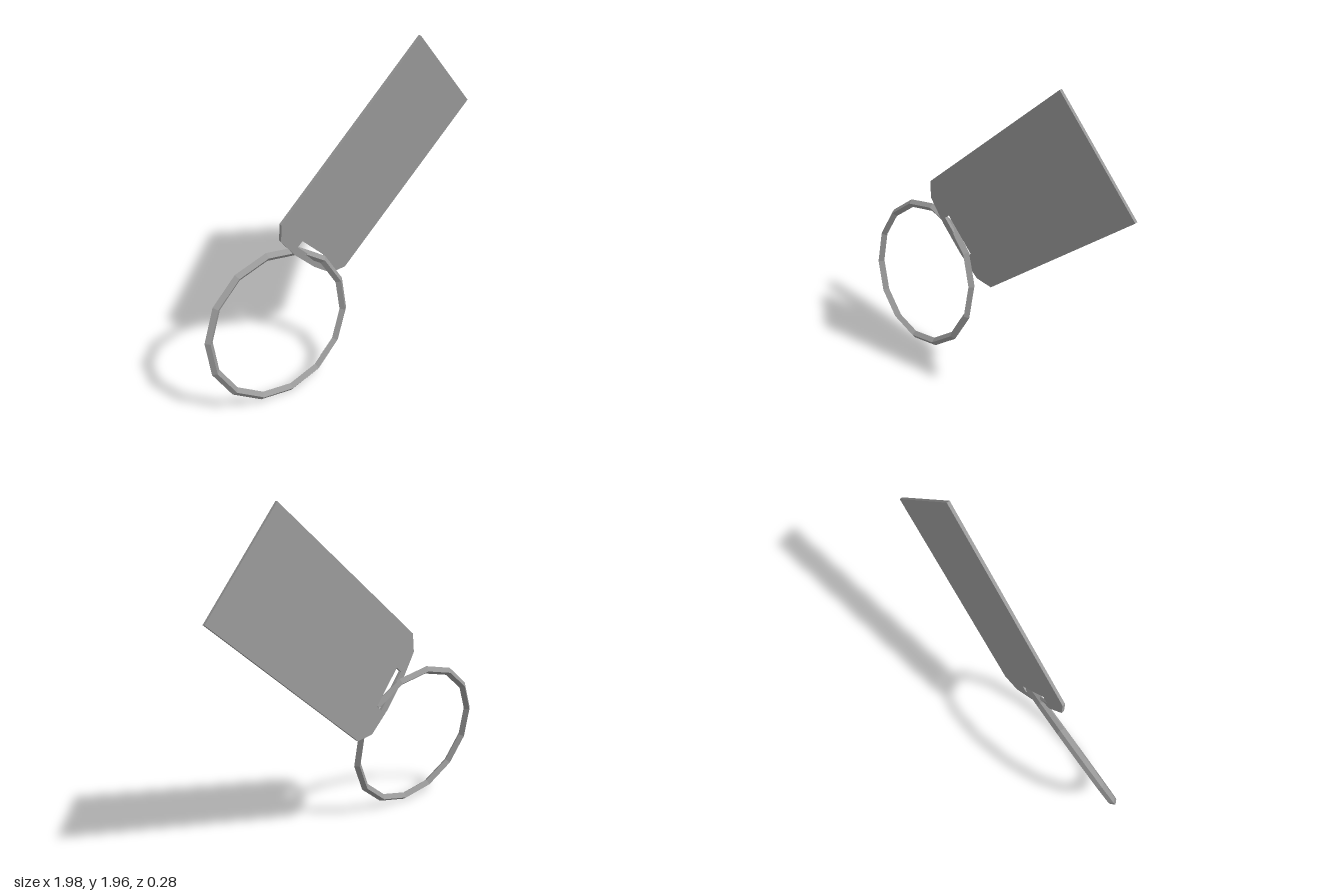
import * as THREE from 'three';

export function createModel() {
  const group = new THREE.Group();
  const gray = new THREE.MeshStandardMaterial({ color: 0x999999, flatShading: true });
  gray.name = 'gray metal';

  // Tag outline: x runs along the length, y across the width
  const length = 1.27, width = 0.738, thickness = 0.018;
  const outline = [
    [0, 0], [-0.078, -0.084], [-0.1, -0.26], [-0.1, -width + 0.26],
    [-0.078, -width + 0.084], [0, -width], [length, -width], [length, 0],
  ];
  const shape = new THREE.Shape(outline.map(([x, y]) => new THREE.Vector2(x, y)));

  // Slot the ring passes through
  const slot = [[-0.055, -0.235], [-0.01, -0.235], [-0.01, -0.503], [-0.055, -0.503]];
  shape.holes.push(new THREE.Path(slot.map(([x, y]) => new THREE.Vector2(x, y))));

  const tagGeometry = new THREE.ExtrudeGeometry(shape, { depth: thickness, bevelEnabled: false });
  tagGeometry.translate(0, 0, -thickness);

  // Lean the tag diagonally, with its lower and far edges turned back
  const along = new THREE.Vector3(0.765, 0.644, -0.039).normalize();
  const across = new THREE.Vector3(-0.644, 0.765, 0.095);
  const normal = new THREE.Vector3().crossVectors(along, across).normalize();
  across.crossVectors(normal, along);
  const placement = new THREE.Matrix4().makeBasis(along, across, normal);
  placement.setPosition(-0.455, 1.15, 0);
  tagGeometry.applyMatrix4(placement);
  const tag = new THREE.Mesh(tagGeometry, gray);
  tag.name = 'tag';
  group.add(tag);

  // Fourteen-sided split ring with a diamond cross-section
  const ring = new THREE.Mesh(new THREE.TorusGeometry(0.455, 0.025, 4, 14), gray);
  ring.name = 'ring';
  ring.rotation.set(-0.2, 0.01, Math.PI / 2);
  ring.position.set(-0.525, 0.477, 0.025);
  group.add(ring);

  return group;
}
